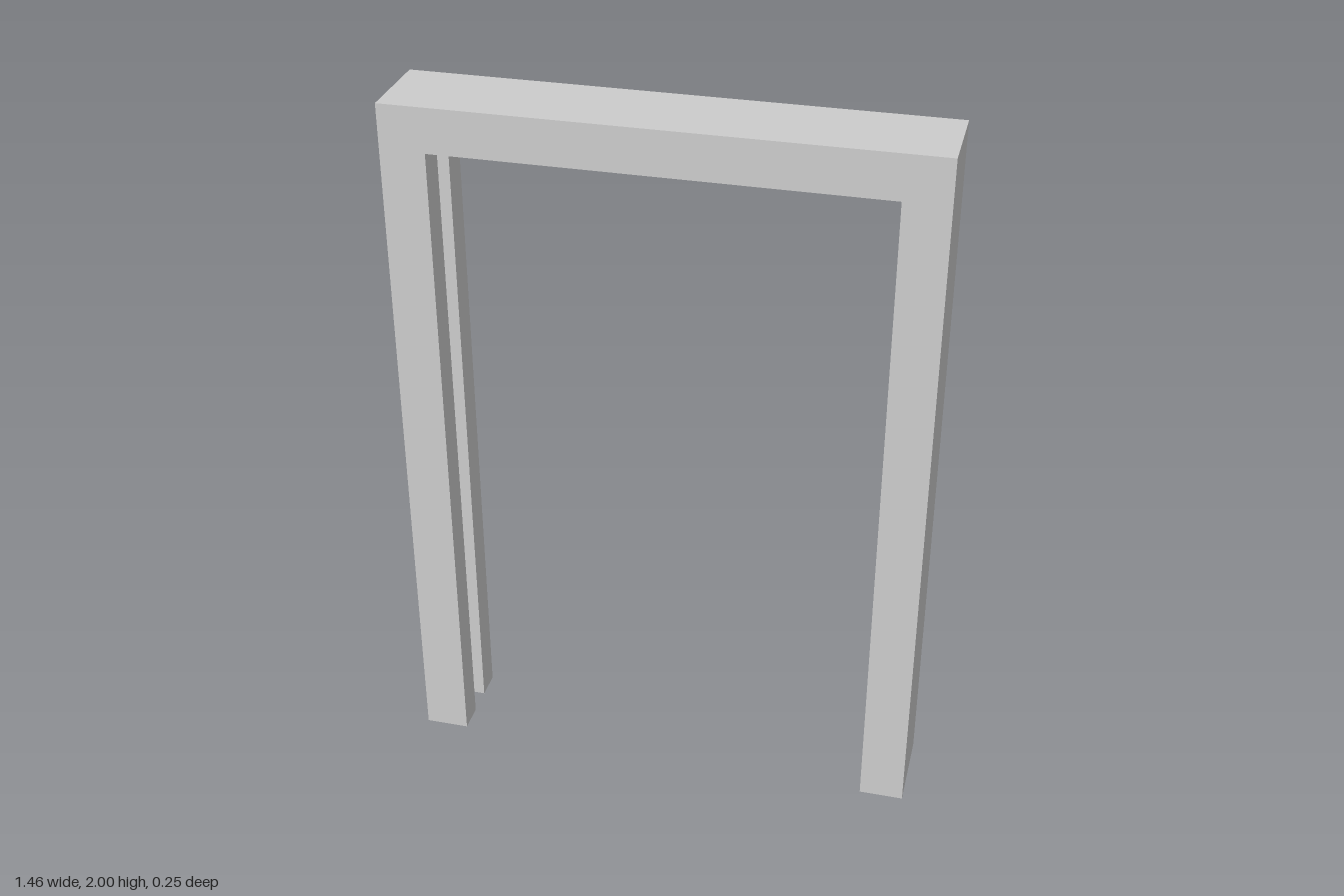
import * as THREE from 'three';

const HALF_W = 0.73, HEIGHT = 2, HALF_D = 0.123;
const THICK = 0.124, GROOVE_DEPTH = 0.056, GROOVE_HALF = 0.041;

// Grooved cross-section: [distance in from the outer face, z]
const SECTION = [
  [0, -HALF_D], [0, HALF_D], [THICK, HALF_D], [THICK, GROOVE_HALF],
  [THICK - GROOVE_DEPTH, GROOVE_HALF], [THICK - GROOVE_DEPTH, -GROOVE_HALF],
  [THICK, -GROOVE_HALF], [THICK, -HALF_D],
];

// Stations along the frame: foot, mitred corner, mitred corner, foot
const STATIONS = [
  ([t, z]) => [HALF_W - t, 0, z],
  ([t, z]) => [HALF_W - t, HEIGHT - t, z],
  ([t, z]) => [t - HALF_W, HEIGHT - t, z],
  ([t, z]) => [t - HALF_W, 0, z],
];

// One member: the section swept between two stations, open at its ends
function member(name, from, to, material) {
  const positions = [];
  SECTION.forEach((p, i) => {
    const q = SECTION[(i + 1) % SECTION.length];
    const a = from(p), b = from(q), c = to(p), d = to(q);
    positions.push(...b, ...a, ...c, ...b, ...c, ...d);
  });
  const geometry = new THREE.BufferGeometry();
  geometry.setAttribute('position', new THREE.Float32BufferAttribute(positions, 3));
  geometry.computeVertexNormals();
  const mesh = new THREE.Mesh(geometry, material);
  mesh.name = name;
  return mesh;
}

export function createModel() {
  const group = new THREE.Group();
  group.name = 'doorFrame';
  // Hollow members with open feet, so both sides show
  const material = new THREE.MeshStandardMaterial({ color: 0xcccccc, side: THREE.DoubleSide });
  ['leftJamb', 'header', 'rightJamb'].forEach((name, i) =>
    group.add(member(name, STATIONS[i], STATIONS[i + 1], material)));
  return group;
}
